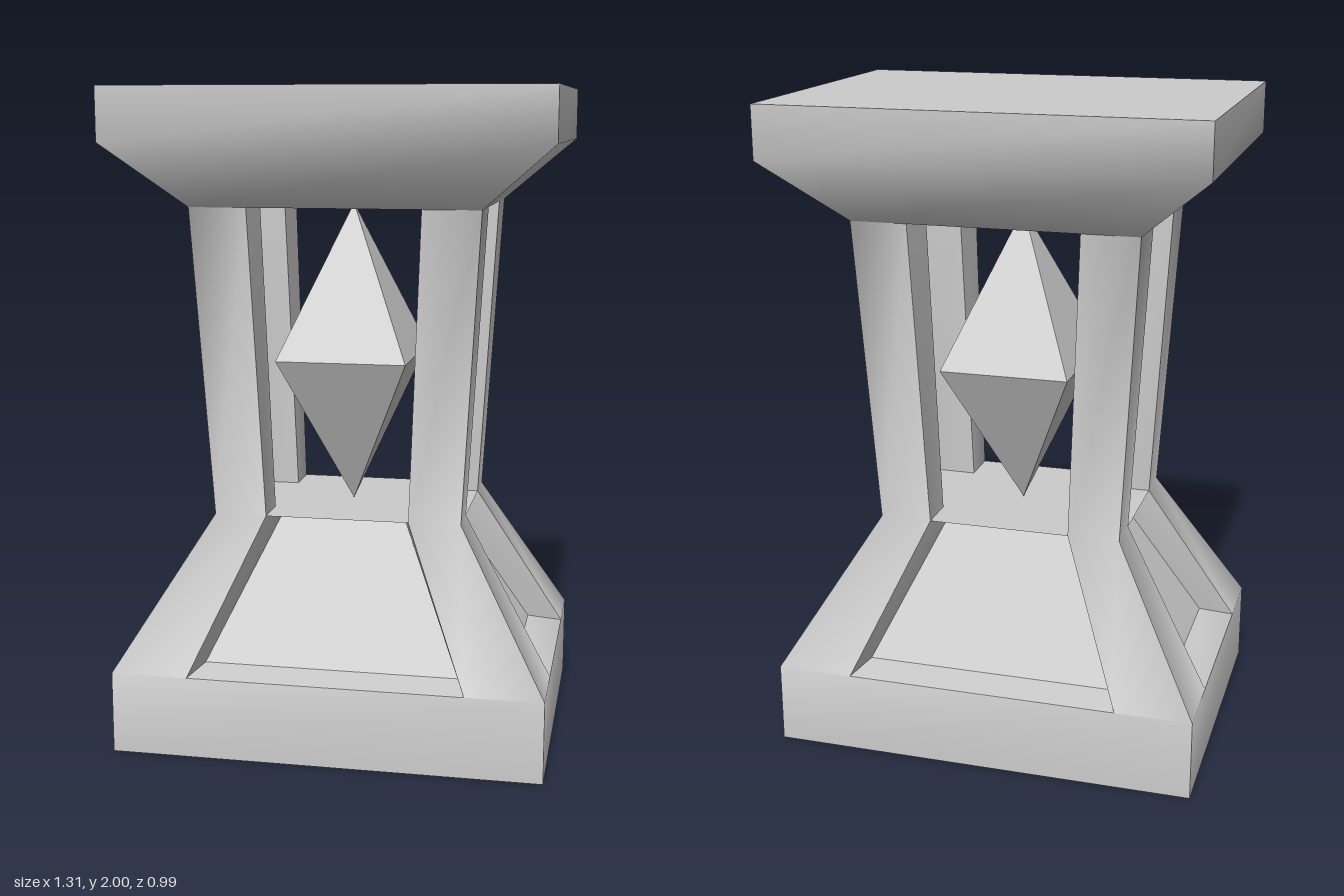
import * as THREE from 'three';
import { toCreasedNormals } from 'three/addons/utils/BufferGeometryUtils.js';

// Ring heights with half widths in x and z, from the foot to the top plate
const RINGS = [
  { y: 0, x: 0.655, z: 0.495 },
  { y: 0.25, x: 0.655, z: 0.495 },
  { y: 0.71, x: 0.38, z: 0.285 },
  { y: 1.65, x: 0.435, z: 0.33 },
  { y: 1.84, x: 0.655, z: 0.495 },
  { y: 2, x: 0.655, z: 0.495 },
];

// Half widths of the openings at rings 1, 2 and 3
const OPEN = { x: [0.42, 0.22, 0.26], z: [0.275, 0.16, 0.16] };
const RECESS = 0.11;

// Each side works in (u along the face, y up, w outward)
const SIDES = [
  { name: 'front', u: 'x', w: 'z', place: ([u, y, w]) => [u, y, w] },
  { name: 'back', u: 'x', w: 'z', place: ([u, y, w]) => [-u, y, -w] },
  { name: 'left', u: 'z', w: 'x', place: ([u, y, w]) => [w, y, -u] },
  { name: 'right', u: 'z', w: 'x', place: ([u, y, w]) => [-w, y, u] },
];

function quadGeometry(quads) {
  const points = quads.flatMap(([a, b, c, d]) => [a, b, c, a, c, d]).flat();
  const geometry = new THREE.BufferGeometry();
  geometry.setAttribute('position', new THREE.Float32BufferAttribute(points, 3));
  geometry.computeVertexNormals();
  return toCreasedNormals(geometry, 0.95);
}

// Horizontal rectangle at a ring, facing up or down
function cap({ y, x, z }, up) {
  const corners = [[-x, y, z], [x, y, z], [x, y, -z], [-x, y, -z]];
  return up ? corners : corners.reverse();
}

// Four corners, counter-clockwise from outside
function trapezoid(u0, y0, w0, u1, y1, w1) {
  return [[-u0, y0, w0], [u0, y0, w0], [u1, y1, w1], [-u1, y1, w1]];
}

function sideQuads(side) {
  const { u, w } = side;
  const frame = [];
  const open = OPEN[u];
  const inner = OPEN[w];

  // Solid bands of the foot and the top plate
  for (const i of [0, 3, 4]) {
    const a = RINGS[i], b = RINGS[i + 1];
    frame.push(trapezoid(a[u], a.y, a[w], b[u], b.y, b[w]));
  }

  // Faces to both sides of the panel and of the open window
  for (const i of [1, 2]) {
    const a = RINGS[i], b = RINGS[i + 1];
    const o0 = open[i - 1], o1 = open[i];
    frame.push(
      [[-a[u], a.y, a[w]], [-o0, a.y, a[w]], [-o1, b.y, b[w]], [-b[u], b.y, b[w]]],
      [[o0, a.y, a[w]], [a[u], a.y, a[w]], [b[u], b.y, b[w]], [o1, b.y, b[w]]],
    );
  }

  // Inner faces of the posts
  const a = RINGS[2], b = RINGS[3];
  const [, o0, o1] = open;
  const [, i0, i1] = inner;
  frame.push(
    [[-o0, a.y, a[w]], [-o0, a.y, i0], [-o1, b.y, i1], [-o1, b.y, b[w]]],
    [[o0, a.y, i0], [o0, a.y, a[w]], [o1, b.y, b[w]], [o1, b.y, i1]],
  );

  // Recess walls and the sunken panel
  const low = RINGS[1];
  const inset = u === 'x' ? 0.03 : 0.018;
  const rim = trapezoid(open[0], low.y, low[w], open[1], a.y, a[w]);
  const panel = trapezoid(
    open[0] - inset, low.y + 0.015, low[w] - RECESS,
    open[1] - inset, a.y - 0.01, a[w] - RECESS,
  );
  for (let k = 0; k < 4; k++) {
    const n = (k + 1) % 4;
    frame.push([rim[k], rim[n], panel[n], panel[k]]);
  }

  const place = (quad) => quad.map(side.place);
  return { frame: frame.map(place), panel: place(panel) };
}

export function createModel() {
  const group = new THREE.Group();
  group.name = 'crystalPedestal';
  const material = new THREE.MeshStandardMaterial({ color: 0xcccccc });
  const add = (geometry, name) => {
    const mesh = new THREE.Mesh(geometry, material);
    mesh.name = name;
    group.add(mesh);
    return mesh;
  };

  // Underside, chamber floor, chamber ceiling and top
  const frame = [
    cap(RINGS[0], false), cap(RINGS[2], true),
    cap(RINGS[3], false), cap(RINGS[5], true),
  ];
  for (const side of SIDES) {
    const quads = sideQuads(side);
    frame.push(...quads.frame);
    add(quadGeometry([quads.panel]), `${side.name}Panel`);
  }
  add(quadGeometry(frame), 'frame');

  // Four-sided double pyramid between floor and ceiling
  const crystal = new THREE.OctahedronGeometry(Math.SQRT2);
  crystal.rotateY(Math.PI / 4);
  crystal.scale(0.2, 0.47 / Math.SQRT2, 0.23);
  add(crystal, 'crystal').position.y = 1.18;

  return group;
}
